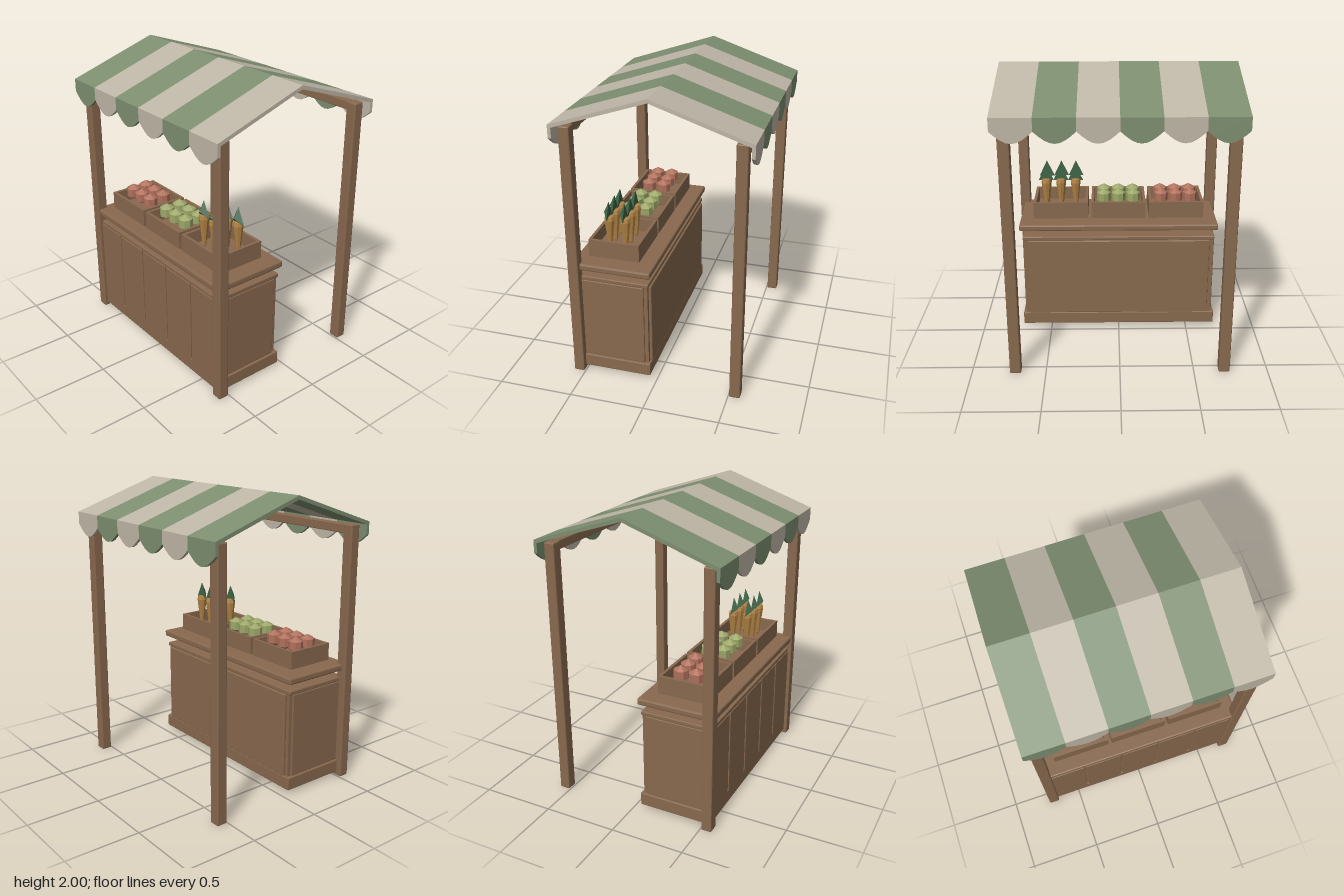
import * as THREE from 'three';
import { RoundedBoxGeometry } from 'three/addons/geometries/RoundedBoxGeometry.js';

const flat = (name, color) => {
  const m = new THREE.MeshStandardMaterial({ color, flatShading: true });
  m.name = name;
  return m;
};

export function createModel() {
  const wood = flat('wood', 0x88694e);
  const green = flat('green cloth', 0x7c8e70);
  const cream = flat('cream cloth', 0xbeb6a6);
  const red = flat('red fruit', 0xb0705c);
  const lime = flat('green fruit', 0x9ca768);
  const orange = flat('carrot orange', 0xb08244);
  const leafGreen = flat('leaf green', 0x3f6548);

  const group = new THREE.Group();
  const add = (name, geo, mat, x = 0, y = 0, z = 0, parent = group) => {
    const mesh = new THREE.Mesh(geo, mat);
    mesh.name = name;
    mesh.position.set(x, y, z);
    parent.add(mesh);
    return mesh;
  };
  // Box given by its limits; a bevel above zero chamfers the edges
  const box = (name, [x0, x1], [y0, y1], [z0, z1], bevel = 0, parent = group) => {
    const s = [x1 - x0, y1 - y0, z1 - z0];
    const geo = bevel ? new RoundedBoxGeometry(...s, 1, bevel) : new THREE.BoxGeometry(...s);
    return add(name, geo, wood, (x0 + x1) / 2, (y0 + y1) / 2, (z0 + z1) / 2, parent);
  };

  // Posts and the beams joining them lengthwise
  for (const sz of [1, -1]) {
    for (const sx of [1, -1]) {
      add('post', new RoundedBoxGeometry(0.075, 1.77, 0.072, 1, 0.008), wood, sx * 0.705, 0.888, sz * 0.543);
    }
    add('beam', new RoundedBoxGeometry(1.4, 0.06, 0.05, 1, 0.005), wood, 0, 1.735, sz * 0.558);
  }

  // Counter cabinet: core, plinth, top rim, panels
  box('cabinet', [-0.68, 0.68], [0.05, 0.725], [0.06, 0.54]);
  box('plinth', [-0.705, 0.705], [0.03, 0.12], [0.045, 0.555], 0.006);
  box('cabinetRim', [-0.69, 0.69], [0.7, 0.73], [0.052, 0.55], 0.006);
  box('backPanel', [-0.655, 0.655], [0.12, 0.7], [0.042, 0.065], 0.006);
  for (const s of [1, -1]) {
    add('sidePanel', new RoundedBoxGeometry(0.02, 0.58, 0.43, 1, 0.005), wood, s * 0.682, 0.41, 0.3);
  }
  // Front boards with narrow grooves between them
  for (let i = 0; i < 5; i++) {
    const x = (i - 2) * 0.276 - 0.005;
    box('frontBoard', [x - 0.132, x + 0.132], [0.11, 0.705], [0.53, 0.555], 0.004);
  }
  box('counterTop', [-0.71, 0.71], [0.78, 0.825], [0.035, 0.57], 0.01);

  // Low-poly fruit, carrot body and folded leaf tuft
  const fruitGeo = new THREE.SphereGeometry(0.058, 8, 3);
  const carrotGeo = new THREE.LatheGeometry(
    [[0, 0.865], [0.012, 0.88], [0.021, 0.96], [0.035, 1.075], [0.03, 1.1], [0, 1.105]].map(
      ([r, y]) => new THREE.Vector2(r, y)), 8);
  const leafGeo = new THREE.BufferGeometry();
  leafGeo.setAttribute('position', new THREE.Float32BufferAttribute(
    [0, 1.205, 0, -0.055, 1.09, 0, 0.055, 1.09, 0, 0, 1.13, 0.035], 3));
  leafGeo.setIndex([0, 1, 3, 0, 3, 2, 0, 2, 1, 1, 2, 3]);
  const leaf = leafGeo.toNonIndexed();
  leaf.computeVertexNormals();

  // Three open crates, each holding two rows of three
  ['redFruit', 'greenFruit', 'carrot'].forEach((kind, i) => {
    const crate = new THREE.Group();
    crate.name = kind + 'Crate';
    crate.position.set((i - 1) * 0.415, 0, 0.307);
    group.add(crate);
    box('crateFloor', [-0.18, 0.18], [0.842, 0.87], [-0.155, 0.155], 0, crate);
    for (const s of [1, -1]) {
      add('crateLongWall', new THREE.BoxGeometry(0.39, 0.12, 0.02), wood, 0, 0.9, s * 0.162, crate);
      add('crateShortWall', new THREE.BoxGeometry(0.02, 0.12, 0.304), wood, s * 0.185, 0.9, 0, crate);
    }
    for (const x of [-0.106, 0, 0.106]) {
      for (const z of [-0.054, 0.054]) {
        if (kind === 'carrot') {
          add('carrot', carrotGeo, orange, x, 0, z, crate);
          add('carrotLeaves', leaf, leafGreen, x, 0, z, crate);
        } else {
          add(kind, fruitGeo, kind === 'redFruit' ? red : lime, x, 0.967, z, crate);
        }
      }
    }
  });

  // Striped gable awning with a scalloped valance on both eaves
  const w = 1.56 / 6;
  const gable = new THREE.Shape([
    [-0.625, 1.79], [-0.625, 1.765], [0, 1.975], [0.625, 1.765], [0.625, 1.79], [0, 2],
  ].map(([z, y]) => new THREE.Vector2(z, y)));
  const gableGeo = new THREE.ExtrudeGeometry(gable, { depth: w, bevelEnabled: false });
  gableGeo.rotateY(Math.PI / 2);

  const scallop = new THREE.Shape();
  scallop.moveTo(0, 1.788);
  scallop.lineTo(0, 1.705);
  for (let k = 1; k <= 8; k++) {
    scallop.lineTo((k / 8) * w, 1.705 - 0.075 * Math.sin((k / 8) * Math.PI));
  }
  scallop.lineTo(w, 1.788);
  const scallopGeo = new THREE.ExtrudeGeometry(scallop, { depth: 0.022, bevelEnabled: false });

  for (let i = 0; i < 6; i++) {
    const cloth = i % 2 ? cream : green;
    const x = -0.78 + i * w;
    add('awningStripe', gableGeo, cloth, x);
    add('frontValance', scallopGeo, cloth, x, 0, 0.603);
    add('backValance', scallopGeo, cloth, x, 0, -0.625);
  }
  return group;
}
